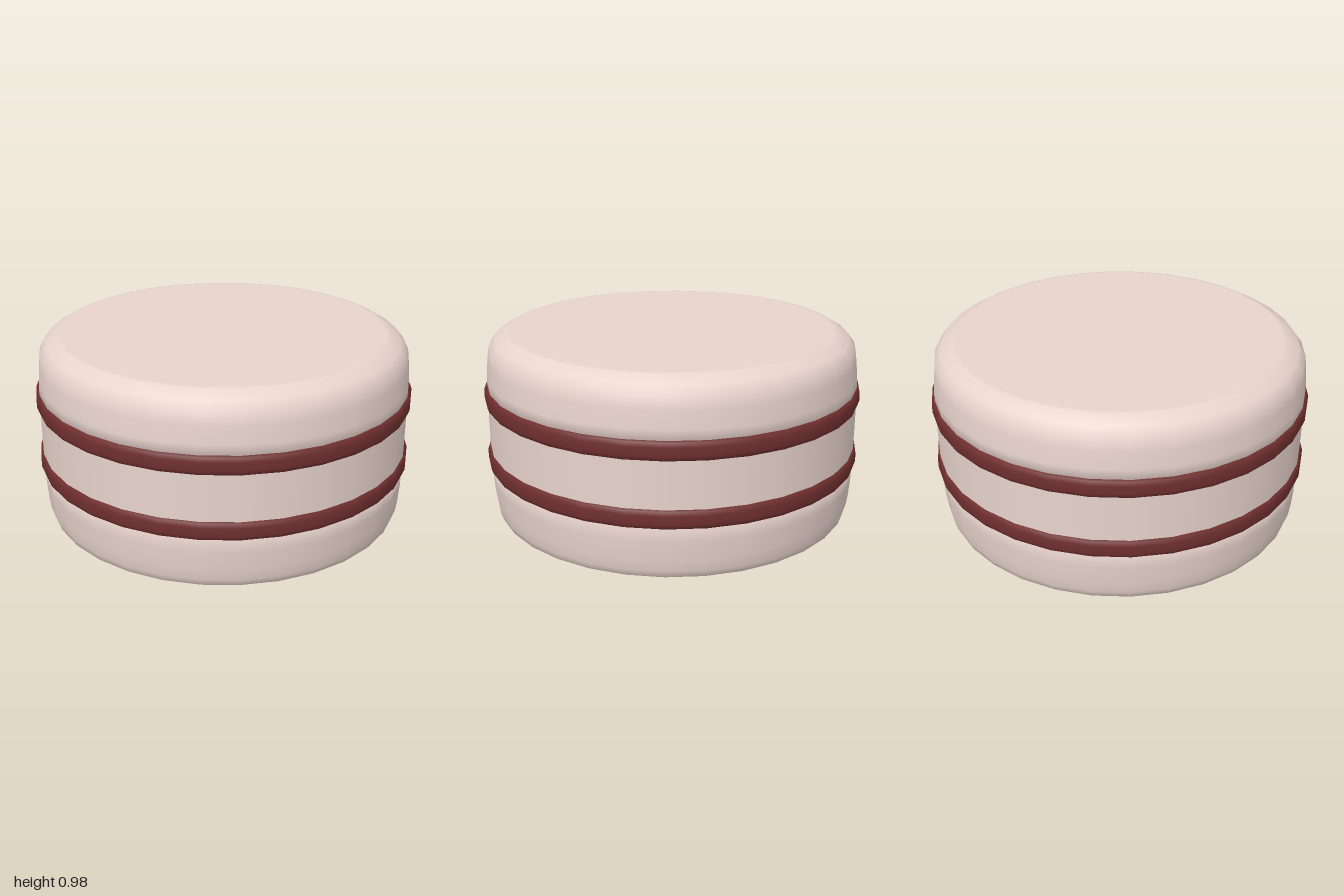
import * as THREE from 'three';

const SIDES = 32;

// Smooth turned part from [radius, height] pairs, listed bottom to top
function turned(name, profile, material) {
  const points = profile.map(([r, y]) => new THREE.Vector2(r, y));
  const mesh = new THREE.Mesh(new THREE.LatheGeometry(points, SIDES), material);
  mesh.name = name;
  return mesh;
}

export function createModel() {
  const group = new THREE.Group();
  group.name = 'layeredCake';
  const sponge = new THREE.MeshStandardMaterial({ color: 0xe8d3cc });
  const cream = new THREE.MeshStandardMaterial({ color: 0x702f2f });

  // Bottom layer: flat base, tight lower edge
  group.add(turned('bottomLayer', [
    [0, 0], [0.94, 0], [0.955, 0.005], [0.967, 0.04], [0.975, 0.1],
    [0.982, 0.2], [0.985, 0.32], [0, 0.32],
  ], sponge));

  // Middle layer: straight wall
  group.add(turned('middleLayer', [[0.985, 0.3], [0.985, 0.67]], sponge));

  // Top layer: rounded shoulder and flat top
  group.add(turned('topLayer', [
    [0, 0.65], [0.985, 0.65], [0.982, 0.75], [0.973, 0.84], [0.965, 0.9],
    [0.93, 0.945], [0.87, 0.978], [0.85, 0.98], [0, 0.98],
  ], sponge));

  // Two filling bands with rounded outer edges
  for (const [name, y] of [['lowerFilling', 0.317], ['upperFilling', 0.653]]) {
    const band = turned(name, [
      [0.93, -0.05], [0.982, -0.05], [0.993, -0.042], [1, -0.022],
      [1, 0.022], [0.993, 0.042], [0.982, 0.05], [0.93, 0.05],
    ], cream);
    band.position.y = y;
    group.add(band);
  }
  return group;
}
